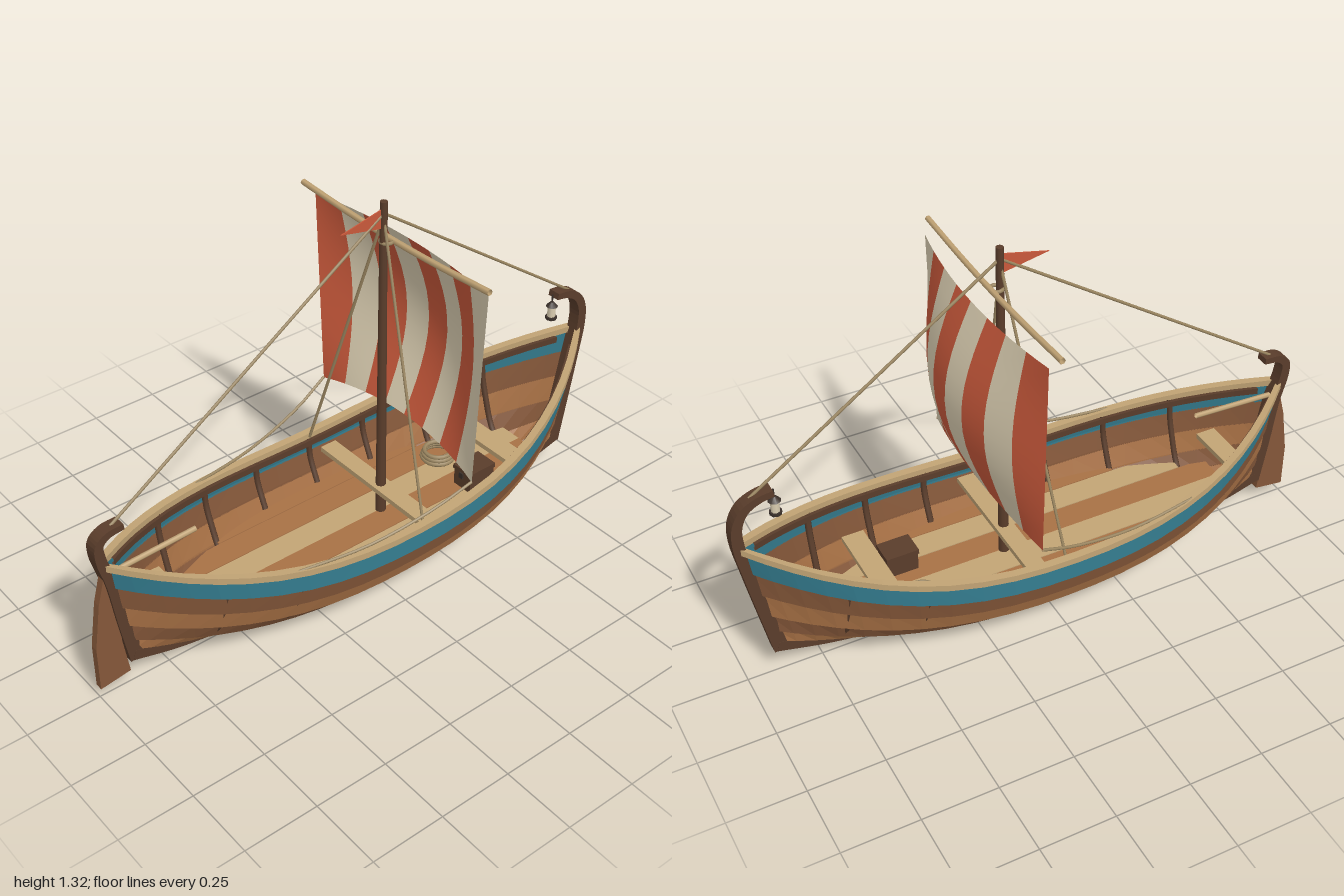
import * as THREE from 'three';

const mat = (name, color) => new THREE.MeshStandardMaterial({ name, color, side: THREE.DoubleSide });
const V = (x, y, z) => new THREE.Vector3(x, y, z);

// Hull level lines from sheer to keel: height and half-width amidships, heights at the ends
const MID_Y = [0.335, 0.268, 0.2, 0.132, 0.07, 0.042, 0.03];
const MID_W = [0.295, 0.292, 0.265, 0.228, 0.165, 0.095, 0.015];
const BOW_Y = [0.535, 0.445, 0.35, 0.255, 0.185, 0.135, 0.105];
const STERN_Y = [0.49, 0.41, 0.325, 0.245, 0.18, 0.135, 0.105];

// Point on level k at u from -1 (stern) to 1 (bow)
function hullPoint(k, u) {
  const a = Math.abs(u), endY = (u > 0 ? BOW_Y : STERN_Y)[k];
  const endX = u > 0 ? 0.885 + 0.2 * (endY - 0.105) : 0.87 + 0.19 * (endY - 0.105);
  return V(u * endX, MID_Y[k] + (endY - MID_Y[k]) * a * a, 0.01 + MID_W[k] * (1 - a ** 2.7));
}

// Cross-section of the hull at a given x, sheer first
function section(x) {
  return MID_Y.map((_, k) => hullPoint(k, Math.max(-1, Math.min(1, x / Math.abs(hullPoint(k, Math.sign(x) || 1).x)))));
}

function halfWidth(x, y) {
  const s = section(x);
  for (let k = 0; k < 6; k++) {
    if (y <= s[k].y && y >= s[k + 1].y) {
      return THREE.MathUtils.mapLinear(y, s[k + 1].y, s[k].y, s[k + 1].z, s[k].z);
    }
  }
  return 0;
}

// Surface through rows of points
function loft(rows, smooth = false) {
  const n = rows[0].length, index = [];
  for (let i = 0; i < rows.length - 1; i++) {
    for (let j = 0; j < n - 1; j++) {
      const a = i * n + j, b = a + n;
      index.push(a, b, a + 1, b, b + 1, a + 1);
    }
  }
  let g = new THREE.BufferGeometry().setFromPoints(rows.flat());
  g.setIndex(index);
  if (!smooth) g = g.toNonIndexed();
  g.computeVertexNormals();
  return g;
}

// Flat timber of tapering thickness along a curve in the xy plane
function timber(points, t0, t1, width) {
  const pts = new THREE.CatmullRomCurve3(points.map(([x, y]) => V(x, y, 0)));
  const left = [], right = [];
  for (let i = 0; i <= 28; i++) {
    const p = pts.getPoint(i / 28), d = pts.getTangent(i / 28), t = t0 + (t1 - t0) * i / 28;
    left.push(new THREE.Vector2(p.x - d.y * t, p.y + d.x * t));
    right.unshift(new THREE.Vector2(p.x + d.y * t, p.y - d.x * t));
  }
  return slab([...left, ...right], width);
}

function slab(points, width) {
  return new THREE.ExtrudeGeometry(new THREE.Shape(points), { depth: width, bevelEnabled: false })
    .translate(0, 0, -width / 2);
}

function tube(points, r, segments = 12) {
  const curve = points.length === 2 ? new THREE.LineCurve3(...points) : new THREE.CatmullRomCurve3(points);
  return new THREE.TubeGeometry(curve, points.length === 2 ? 1 : segments, r, 6);
}

export function createModel() {
  const boat = new THREE.Group();
  boat.name = 'sailingBoat';
  const teal = mat('tealPaint', 0x32788a);
  const brown = mat('brownPlank', 0x845739);
  const tan = mat('tanPlank', 0xa87145);
  const dark = mat('darkTimber', 0x5a3d2b);
  const pale = mat('paleWood', 0xc2a475);
  const rope = mat('rope', 0x9c8761);
  const cream = mat('creamCloth', 0xdccfb2);
  const red = mat('redCloth', 0xc9593b);
  const iron = mat('darkIron', 0x3b312b);

  const add = (name, geometry, material, x = 0, y = 0, z = 0) => {
    const m = new THREE.Mesh(geometry, material);
    m.name = name;
    m.position.set(x, y, z);
    boat.add(m);
    return m;
  };
  const N = 22;
  const stations = Array.from({ length: N + 1 }, (_, i) => Math.sin((i / N - 0.5) * Math.PI) * 0.4 + (i / N * 2 - 1) * 0.6);

  // Overlapping strakes, gunwales and ribs on both sides
  const strakeColors = [teal, brown, tan, brown, tan, brown];
  for (const side of [1, -1]) {
    strakeColors.forEach((material, k) => {
      add('strake' + (k + 1), loft(stations.map(u => {
        const a = hullPoint(k, u), b = hullPoint(k + 1, u);
        const lap = k < 5 ? 0.012 * (1 - 0.6 * u * u) : 0;
        return [V(a.x, a.y, a.z * side), V(b.x, b.y - 0.004, (b.z + lap) * side), V(b.x, b.y, (b.z - 0.002) * side)];
      })), material);
    });
    add('gunwale', loft(stations.map(u => {
      const p = hullPoint(0, u), zi = Math.max(0, p.z - 0.014), zo = p.z + 0.013;
      return [[zi, -0.01], [zo, -0.01], [zo, 0.012], [zi, 0.012], [zi, -0.01]]
        .map(([z, dy]) => V(p.x, p.y + dy, z * side));
    })), pale);
    add('innerRail', loft(stations.slice(1, -1).map(u => {
      const p = hullPoint(0, u), zi = Math.max(0, p.z - 0.026), zo = Math.max(0, p.z - 0.012);
      return [[zo, -0.03], [zi, -0.03], [zi, -0.008], [zo, -0.008]].map(([z, dy]) => V(p.x, p.y + dy, z * side));
    })), dark);
    for (let i = 0; i < 7; i++) {
      const x = -0.64 + i * 0.223;
      const pts = section(x).slice(0, 5).map(p => V(x, p.y - 0.006, Math.max(0.01, p.z - 0.012) * side));
      add('rib', tube(pts, 0.011), dark);
    }
  }

  // Keel, stem and stern posts
  add('keel', timber([[-0.88, 0.115], [-0.7, 0.068], [-0.4, 0.032], [0, 0.018], [0.4, 0.032], [0.7, 0.068], [0.895, 0.115]], 0.018, 0.018, 0.046), dark);
  add('stemPost', timber([[0.885, 0.1], [0.92, 0.27], [0.952, 0.43], [0.975, 0.56], [0.972, 0.63], [0.945, 0.68], [0.9, 0.706], [0.85, 0.715]], 0.024, 0.011, 0.044), dark);
  add('sternPost', timber([[-0.87, 0.1], [-0.9, 0.26], [-0.928, 0.43], [-0.955, 0.53], [-0.955, 0.58], [-0.925, 0.605], [-0.87, 0.612]], 0.024, 0.01, 0.044), dark);

  // Rudder and tiller
  const rudder = [[-0.945, 0.47], [-0.975, 0.36], [-1, 0.2], [-1, 0.04], [-0.893, 0.055], [-0.912, 0.19], [-0.905, 0.3], [-0.93, 0.46]];
  add('rudder', slab(rudder.map(p => new THREE.Vector2(...p)), 0.026), brown);
  add('tiller', tube([V(-0.95, 0.447, 0), V(-0.62, 0.462, 0)], 0.009), pale);

  // Floor planks trimmed to the hull
  const floorY = 0.165;
  for (let i = -3; i < 3; i++) {
    const inner = Math.min(Math.abs(i), Math.abs(i + 1)) * 0.095, outer = inner + 0.092;
    const limit = inner < 0.05 ? 0.73 : 0.63, near = [], far = [];
    for (let j = 0; j <= 24; j++) {
      const x = limit * (j / 12 - 1), z = Math.min(outer, halfWidth(x, floorY - 0.012) - 0.004);
      if (z > inner + 0.004) {
        near.push(new THREE.Vector2(x, inner));
        far.unshift(new THREE.Vector2(x, z));
      }
    }
    const g = slab([...near, ...far], 0.014).rotateX(i >= 0 ? Math.PI / 2 : -Math.PI / 2);
    add('floorPlank', g, i === -1 || i === 1 ? pale : tan, 0, floorY, 0);
  }

  // Thwarts
  for (const [x, y, w, l] of [[-0.735, 0.28, 0.07, 0.2], [0.1, 0.27, 0.062, 0.56], [0.548, 0.265, 0.075, 0.38]]) {
    add('thwart', new THREE.BoxGeometry(w, 0.018, l), pale, x, y, 0);
  }

  // Chest and coil of rope
  add('chest', new THREE.BoxGeometry(0.105, 0.062, 0.08), dark, 0.437, floorY + 0.038, 0.086);
  add('chestLid', new THREE.BoxGeometry(0.112, 0.016, 0.086), dark, 0.437, floorY + 0.078, 0.086);
  add('chestClasp', new THREE.BoxGeometry(0.006, 0.022, 0.018), iron, 0.379, floorY + 0.062, 0.086);
  for (let i = 0; i < 3; i++) {
    add('ropeCoil', new THREE.TorusGeometry(0.055 - i * 0.004, 0.008, 6, 20).rotateX(Math.PI / 2), rope, 0.435, floorY + 0.015 + i * 0.012, -0.095);
  }

  // Mast, yard and pennant
  add('mast', new THREE.CylinderGeometry(0.012, 0.018, 1.165, 10), dark, 0.1, 0.737, 0);
  add('yard', tube([V(0.13, 1.2, -0.43), V(0.13, 1.187, -0.2), V(0.13, 1.183, 0), V(0.13, 1.187, 0.2), V(0.13, 1.2, 0.43)], 0.01), pale);
  add('yardCollar', new THREE.TorusGeometry(0.02, 0.006, 6, 12).rotateX(Math.PI / 2), rope, 0.112, 1.183, 0);
  add('pennant', slab([[0.09, 1.295], [-0.06, 1.262], [0.09, 1.232]].map(p => new THREE.Vector2(...p)), 0.004), red);

  // Billowing sail in eight stripes
  const sailPoint = (s, v) => V(
    0.155 + (1 - s * s) * (0.04 + 0.095 * Math.sin(Math.PI * v)),
    1.165 - v * (0.65 + 0.035 * s * s),
    s * (0.4 - 0.03 * v));
  for (let i = 0; i < 8; i++) {
    const rows = [0, 1, 2].map(j => Array.from({ length: 13 }, (_, v) => sailPoint(1 - (i + j / 2) / 4, v / 12)));
    add('sailStripe', loft(rows, true), i % 2 ? red : cream);
  }

  // Rigging
  add('forestay', tube([V(0.1, 1.28, 0), V(0.92, 0.708, 0)], 0.005), rope);
  add('backstay', tube([V(0.1, 1.28, 0), V(-0.91, 0.612, 0)], 0.005), rope);
  for (const side of [1, -1]) {
    add('shroud', tube([V(0.1, 1.27, 0), V(0.03, 0.335, 0.29 * side)], 0.005), rope);
    add('sheet', tube([V(0.155, 0.482, 0.37 * side), V(0.02, 0.425, 0.345 * side), V(-0.2, 0.378, 0.31 * side), V(-0.46, 0.377, 0.268 * side)], 0.005), rope);
  }

  // Hanging bow lantern
  const lx = 0.845;
  add('lanternHook', tube([V(lx, 0.715, 0), V(lx, 0.68, 0)], 0.003), iron);
  add('lanternCap', new THREE.CylinderGeometry(0.006, 0.021, 0.016, 8), iron, lx, 0.68, 0);
  add('lanternGlass', new THREE.CylinderGeometry(0.014, 0.014, 0.042, 8), cream, lx, 0.652, 0);
  add('lanternBase', new THREE.CylinderGeometry(0.02, 0.02, 0.01, 8), iron, lx, 0.628, 0);

  return boat;
}
